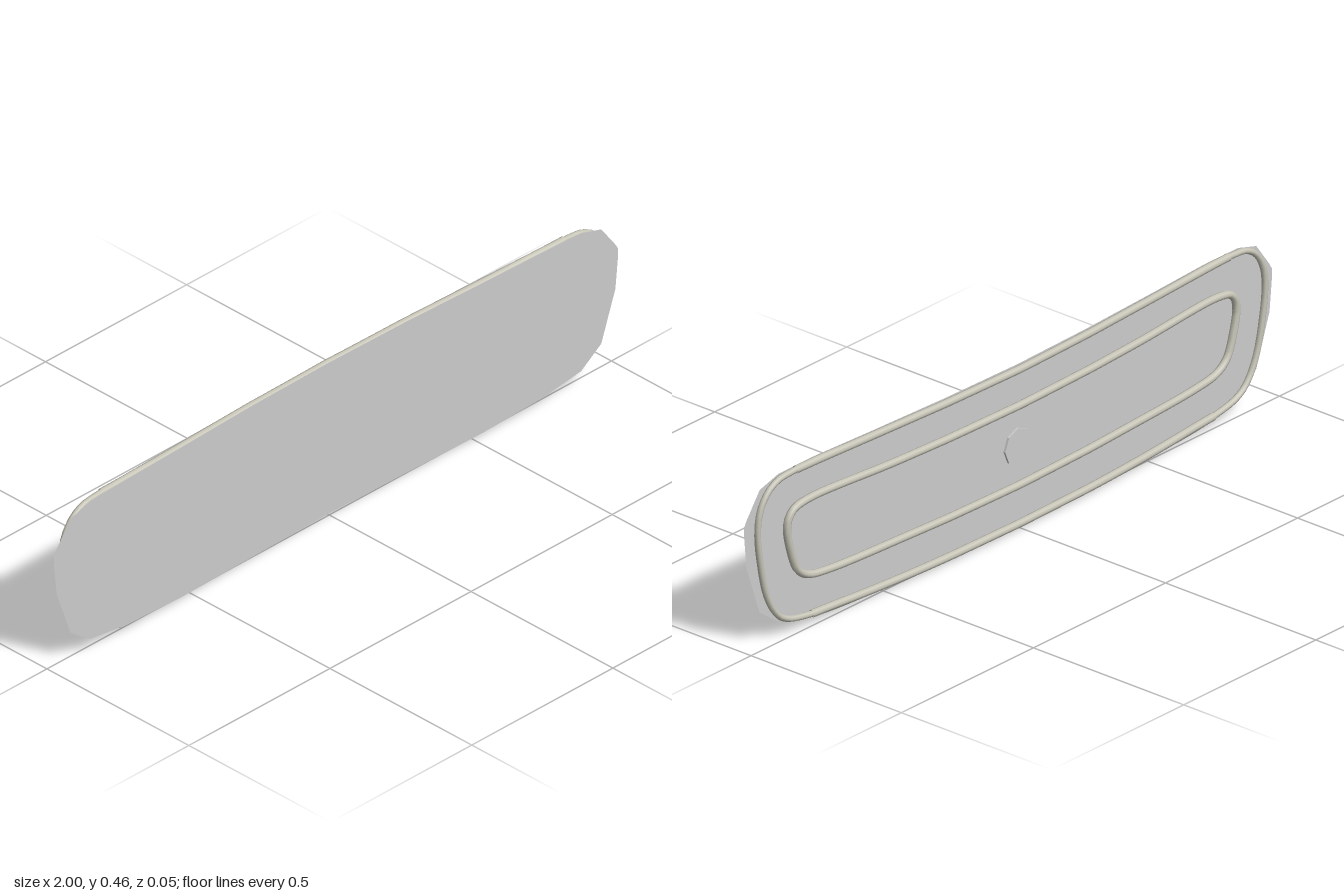
import * as THREE from 'three';

// Half columns of the panel: x, bottom y, top y, z
const COLS = [
  [0, 0, 0.449, -0.005], [0.27, 0.0, 0.45, 0.0], [0.53, 0.005, 0.451, 0.011],
  [0.74, 0.02, 0.453, 0.02], [0.87, 0.04, 0.45, 0.023], [0.94, 0.09, 0.43, 0.024],
  [0.99, 0.23, 0.362, 0.024], [1, 0.33, 0.345, 0.024],
];

// Depth of the bowed panel at a given x
function panelZ(x) {
  const a = Math.min(Math.abs(x), 0.9999);
  const i = COLS.findIndex((c) => c[0] > a);
  const [p, q] = [COLS[i - 1], COLS[i]];
  return THREE.MathUtils.lerp(p[3], q[3], (a - p[0]) / (q[0] - p[0]));
}

function panelGeometry() {
  const cols = [...COLS.slice(1).reverse().map(([x, b, t, z]) => [-x, b, t, z]), ...COLS];
  const pos = [], idx = [];
  cols.forEach(([x, b, t, z], i) => {
    pos.push(x, b, z, x, t, z);
    const k = 2 * i;
    if (i < cols.length - 1) idx.push(k, k + 2, k + 1, k + 1, k + 2, k + 3);
  });
  const g = new THREE.BufferGeometry();
  g.setAttribute('position', new THREE.Float32BufferAttribute(pos, 3));
  g.setIndex(idx);
  g.computeVertexNormals();
  return g;
}

// Bead that hugs the back of the panel; the half path is mirrored in x
function bead(half, closed, radius, steps) {
  const mirrored = half.map(([x, y]) => [-x, y]).reverse();
  const pts = closed ? [...half, ...mirrored.slice(1, -1)] : [...mirrored, ...half.slice(1)];
  const flat = new THREE.CatmullRomCurve3(pts.map(([x, y]) => new THREE.Vector3(x, y, 0)), closed, 'centripetal');
  const samples = flat.getSpacedPoints(steps).map((p) => p.setZ(panelZ(p.x) - 0.011));
  if (closed) samples.pop();
  const path = new THREE.CatmullRomCurve3(samples, closed, 'centripetal');
  return new THREE.TubeGeometry(path, steps * 2, radius, 8, closed);
}

export function createModel() {
  const group = new THREE.Group();
  const grey = new THREE.MeshStandardMaterial({ color: 0xcccccc, side: THREE.DoubleSide, flatShading: true });
  const trim = new THREE.MeshStandardMaterial({ color: 0xc8c6b8, side: THREE.DoubleSide });
  const add = (name, geometry, material) => {
    const mesh = new THREE.Mesh(geometry, material);
    mesh.name = name;
    group.add(mesh);
    return mesh;
  };

  // Thin bowed panel
  add('panel', panelGeometry(), grey);

  // Rim bead around the edge, slightly thicker along the long sides
  add('rimBead', bead([
    [0, 0.44], [0.45, 0.443], [0.82, 0.447], [0.9, 0.435], [0.945, 0.39], [0.96, 0.33],
    [0.95, 0.23], [0.92, 0.12], [0.87, 0.055], [0.76, 0.027], [0.45, 0.015], [0, 0.013],
  ], true, 0.0085, 120), trim);
  add('topRimBead', bead([[0, 0.44], [0.45, 0.443], [0.82, 0.447]], false, 0.0105, 24), trim);
  add('bottomRimBead', bead([[0, 0.013], [0.45, 0.015], [0.76, 0.027]], false, 0.0105, 24), trim);

  // Inner stiffening bead
  add('innerBead', bead([
    [0, 0.34], [0.45, 0.343], [0.78, 0.35], [0.83, 0.338], [0.85, 0.305], [0.835, 0.22],
    [0.81, 0.165], [0.77, 0.14], [0.7, 0.13], [0.4, 0.123], [0, 0.12],
  ], true, 0.0105, 120), trim);

  // Flat eight-sided boss in the middle of the back
  const boss = add('backBoss', new THREE.CylinderGeometry(0.05, 0.05, 0.006, 8), grey);
  boss.rotation.x = Math.PI / 2;
  boss.position.set(0, 0.224, -0.008);

  return group;
}
